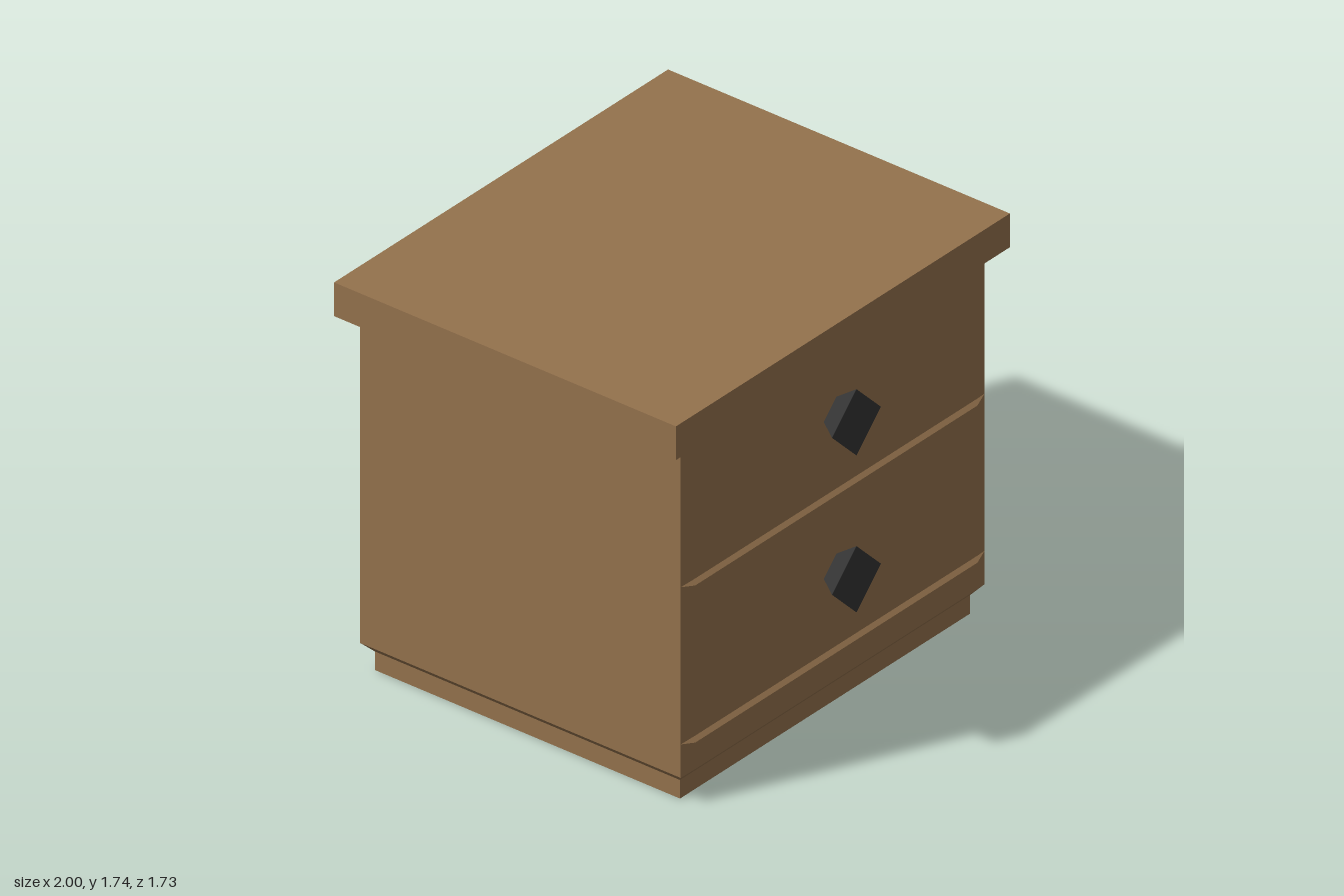
import * as THREE from 'three';

const wood = new THREE.MeshStandardMaterial({ color: 0x94724d });
wood.name = 'brown wood';
const iron = new THREE.MeshStandardMaterial({ color: 0x333333 });
iron.name = 'dark iron';

// Block running along z or y whose low end is size a and high end is size b
function taperedBlock(axis, lo, hi, a, b) {
  const geo = new THREE.BoxGeometry(1, 1, 1).toNonIndexed();
  const p = geo.attributes.position;
  for (let i = 0; i < p.count; i++) {
    const v = new THREE.Vector3().fromBufferAttribute(p, i);
    const high = v[axis] > 0;
    const size = high ? b : a;
    v.x *= size[0];
    v[axis === 'y' ? 'z' : 'y'] *= size[1];
    v[axis] = high ? hi : lo;
    p.setXYZ(i, v.x, v.y, v.z);
  }
  geo.computeVertexNormals();
  return geo;
}

export function createModel() {
  const group = new THREE.Group();
  group.name = 'nightstand';

  const add = (name, geo, material, x, y, z) => {
    const mesh = new THREE.Mesh(geo, material);
    mesh.name = name;
    mesh.position.set(x, y, z);
    group.add(mesh);
    return mesh;
  };

  // Cabinet, bottom to top
  const outer = [1.82, 1.56];
  const inner = [1.736, 1.485];
  add('plinth', taperedBlock('y', 0, 0.082, inner, inner), wood, 0, 0, -0.031);
  add('lowerBevel', taperedBlock('y', 0.082, 0.125, inner, outer), wood, 0, 0, -0.031);
  add('body', taperedBlock('y', 0.125, 1.59, outer, outer), wood, 0, 0, -0.031);
  add('topBoard', new THREE.BoxGeometry(2, 0.149, 1.664), wood, 0, 1.6645, -0.033);

  // Bevelled front panels: [name, bottom, top]
  const panels = [
    ['lowerRail', 0.125, 0.273],
    ['lowerDrawer', 0.273, 0.967],
    ['upperDrawer', 0.967, 1.59],
  ];
  for (const [name, y0, y1] of panels) {
    const h = y1 - y0;
    const geo = taperedBlock('z', 0.749, 0.767, [1.82, h], [1.69, h - 0.031]);
    add(name, geo, wood, 0, (y0 + y1) / 2, 0);
  }

  // Flared diamond knobs
  for (const [name, y] of [['lowerKnob', 0.619], ['upperKnob', 1.312]]) {
    const geo = taperedBlock('z', 0.76, 0.865, [0.1, 0.1], [0.207, 0.207]);
    add(name, geo, iron, 0, y, 0).rotation.z = Math.PI / 4;
  }

  return group;
}
